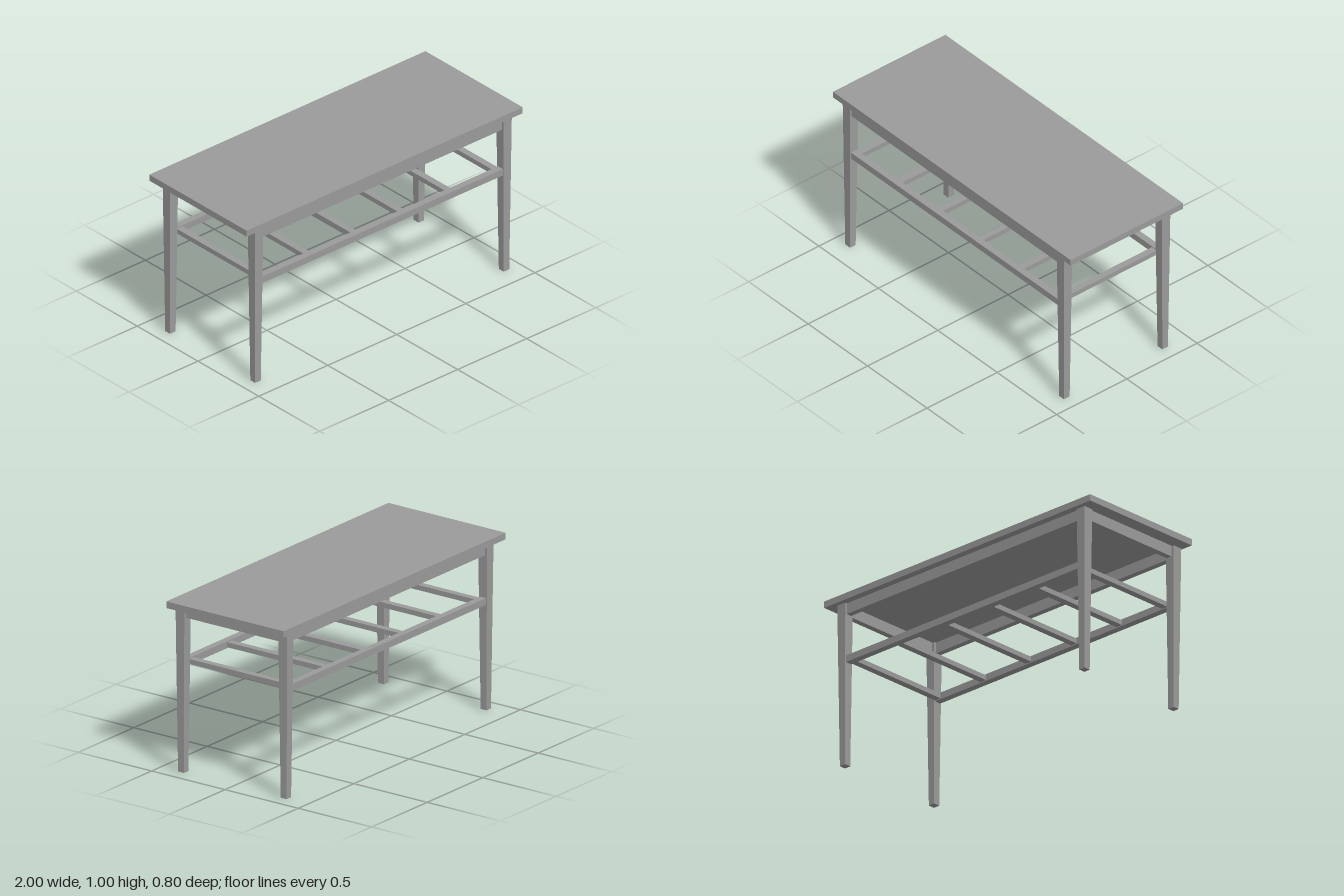
import * as THREE from 'three';

export function createModel() {
  const table = new THREE.Group();
  table.name = 'table';
  const material = new THREE.MeshStandardMaterial({ color: 0x9b9b9b, flatShading: true });

  const add = (name, geometry, x, y, z) => {
    const mesh = new THREE.Mesh(geometry, material);
    mesh.name = name;
    mesh.position.set(x, y, z);
    table.add(mesh);
  };
  const box = (name, w, h, d, x, y, z) => add(name, new THREE.BoxGeometry(w, h, d), x, y, z);

  const topY = 0.962; // underside of the top
  const legX = 0.9, frontZ = 0.36, backZ = -0.34;
  const midZ = (frontZ + backZ) / 2;

  // Table top
  box('tableTop', 2, 1 - topY, 0.8, 0, (1 + topY) / 2, 0);

  // Square leg, narrowing towards the floor
  const legGeometry = new THREE.BoxGeometry(0.06, topY, 0.06);
  const p = legGeometry.attributes.position;
  for (let i = 0; i < p.count; i++) {
    if (p.getY(i) < 0) p.setXYZ(i, p.getX(i) * 0.67, p.getY(i), p.getZ(i) * 0.67);
  }
  legGeometry.computeVertexNormals();

  // Legs, with the long aprons and stretchers between them
  for (const [side, z] of [['front', frontZ], ['back', backZ]]) {
    add(side + 'LeftLeg', legGeometry, legX, topY / 2, z);
    add(side + 'RightLeg', legGeometry, -legX, topY / 2, z);
    box(side + 'Apron', 1.742, 0.064, 0.035, 0, 0.93, z);
    box(side + 'Stretcher', 1.76, 0.04, 0.04, 0, 0.63, z);
  }

  // End aprons
  for (const [side, x] of [['left', legX], ['right', -legX]]) {
    box(side + 'Apron', 0.035, 0.064, 0.645, x, 0.93, 0.0025);
  }

  // Six evenly spaced shelf slats, the outer two just inside the legs
  for (let i = 0; i < 6; i++) {
    box('shelfSlat' + (i + 1), 0.04, 0.029, 0.665, (i - 2.5) * 0.341, 0.63, midZ);
  }

  return table;
}
